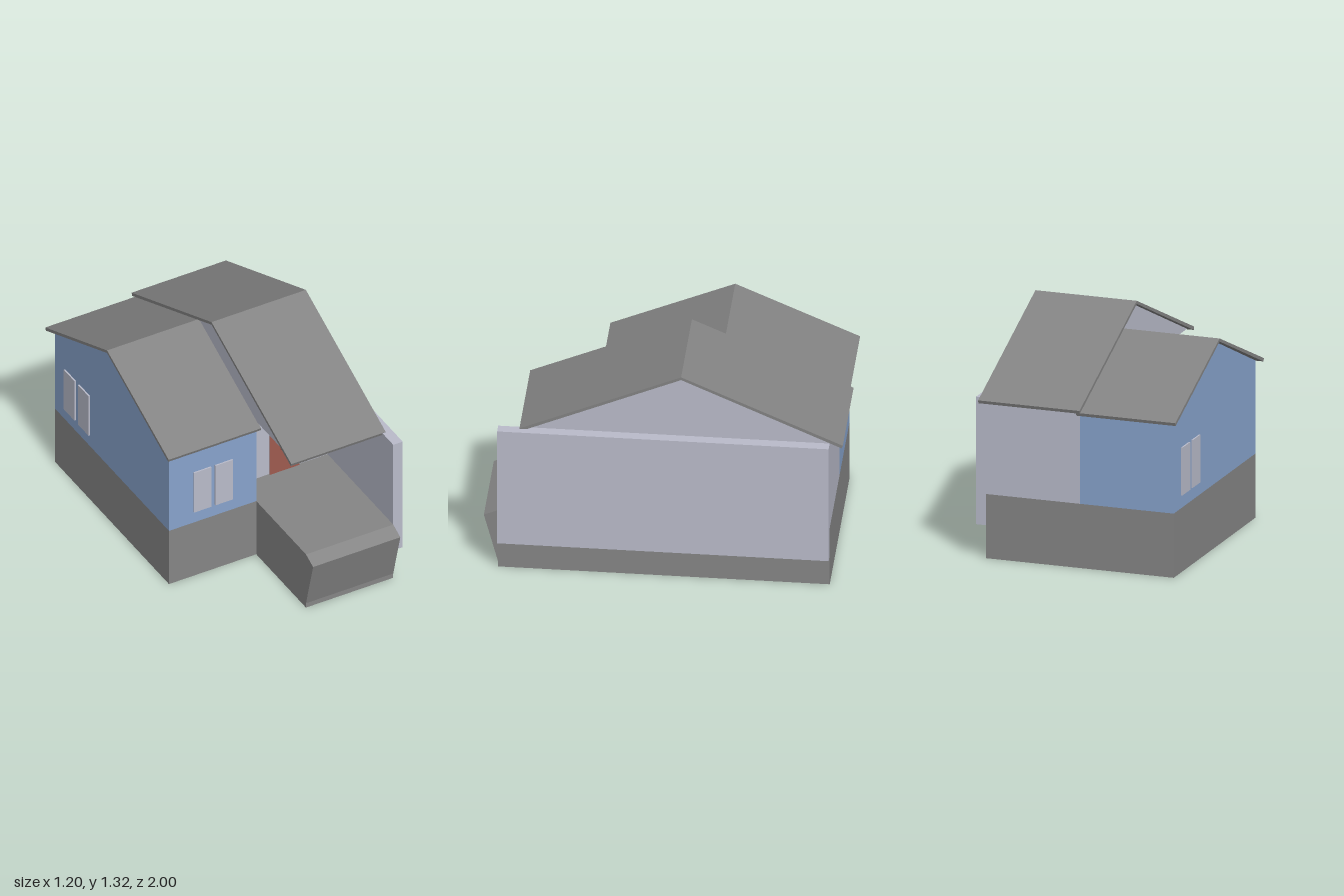
import * as THREE from 'three';

const mat = (name, color) => {
  const m = new THREE.MeshStandardMaterial({ color });
  m.name = name;
  return m;
};

export function createModel() {
  const house = new THREE.Group();
  house.name = 'house';
  const plaster = mat('pale plaster', 0xb9bbca);
  const blue = mat('blue wall', 0x87a3cc);
  const stone = mat('grey base', 0x858585);
  const roofing = mat('grey roof', 0x838383);
  const red = mat('red door', 0x9e5b4f);

  const add = (name, geometry, material) => {
    const mesh = new THREE.Mesh(geometry, material);
    mesh.name = name;
    house.add(mesh);
    return mesh;
  };

  // Box given by its limits on each axis
  const box = (name, material, [x0, x1], [y0, y1], [z0, z1]) =>
    add(name, new THREE.BoxGeometry(x1 - x0, y1 - y0, z1 - z0)
      .translate((x0 + x1) / 2, (y0 + y1) / 2, (z0 + z1) / 2), material);

  // Cross-section of [z, y] points extruded from x0 to x1
  const prism = (name, material, x0, x1, points) => {
    const shape = new THREE.Shape(points.map(([z, y]) => new THREE.Vector2(-z, y)));
    const g = new THREE.ExtrudeGeometry(shape, { depth: x1 - x0, bevelEnabled: false });
    return add(name, g.rotateY(Math.PI / 2).translate(x0, 0, 0), material);
  };

  // Stone base, with the leaning terrace front on the left half
  box('rightBase', stone, [-0.57, -0.015], [0, 0.37], [-0.925, 0.36]);
  prism('terraceBase', stone, -0.015, 0.54, [
    [-0.925, 0], [0.92, 0], [0.92, 0.03], [1, 0.335], [0.92, 0.37], [-0.925, 0.37],
  ]);

  // Blue wing with its gable
  prism('blueWing', blue, -0.57, -0.015, [
    [-0.925, 0.37], [0.36, 0.37], [0.36, 0.905], [-0.285, 1.19], [-0.925, 0.905],
  ]);

  // Pale wing: recessed rooms and the gable reaching over the terrace
  box('paleWing', plaster, [-0.015, 0.54], [0.37, 0.925], [-0.925, 0.18]);
  prism('paleGable', plaster, -0.015, 0.54, [
    [-0.925, 0.925], [0.755, 0.925], [-0.1, 1.3], [-0.925, 0.936],
  ]);
  box('sideWall', plaster, [0.54, 0.6], [0.19, 0.925], [-0.925, 0.92]);

  // Thin folded roofs
  const roof = (name, x0, x1, ridgeZ, half, ridgeY, eaveY, t = 0.018) =>
    prism(name, roofing, x0, x1, [
      [ridgeZ - half, eaveY], [ridgeZ, ridgeY], [ridgeZ + half, eaveY],
      [ridgeZ + half - 0.006, eaveY - t], [ridgeZ, ridgeY - t], [ridgeZ - half + 0.006, eaveY - t],
    ]);
  roof('lowRoof', -0.6, -0.012, -0.285, 0.695, 1.21, 0.909);
  roof('highRoof', -0.04, 0.56, -0.1, 0.9, 1.32, 0.928);

  // Window panels
  const paneY = [0.445, 0.72];
  for (const x of [[-0.415, -0.305], [-0.28, -0.167]]) box('frontWindow', plaster, x, paneY, [0.36, 0.369]);
  for (const x of [[0.065, 0.158], [0.365, 0.456]]) box('porchWindow', plaster, x, paneY, [0.18, 0.189]);
  for (const z of [[-0.81, -0.69], [-0.65, -0.53]]) box('sideWindow', plaster, [-0.579, -0.57], paneY, z);

  // Double door with round knobs
  box('door', red, [0.17, 0.356], [0.37, 0.736], [0.18, 0.189]);
  for (const x of [0.244, 0.281]) {
    add('doorKnob', new THREE.SphereGeometry(0.009, 16, 12), red).position.set(x, 0.528, 0.192);
  }

  return house;
}
